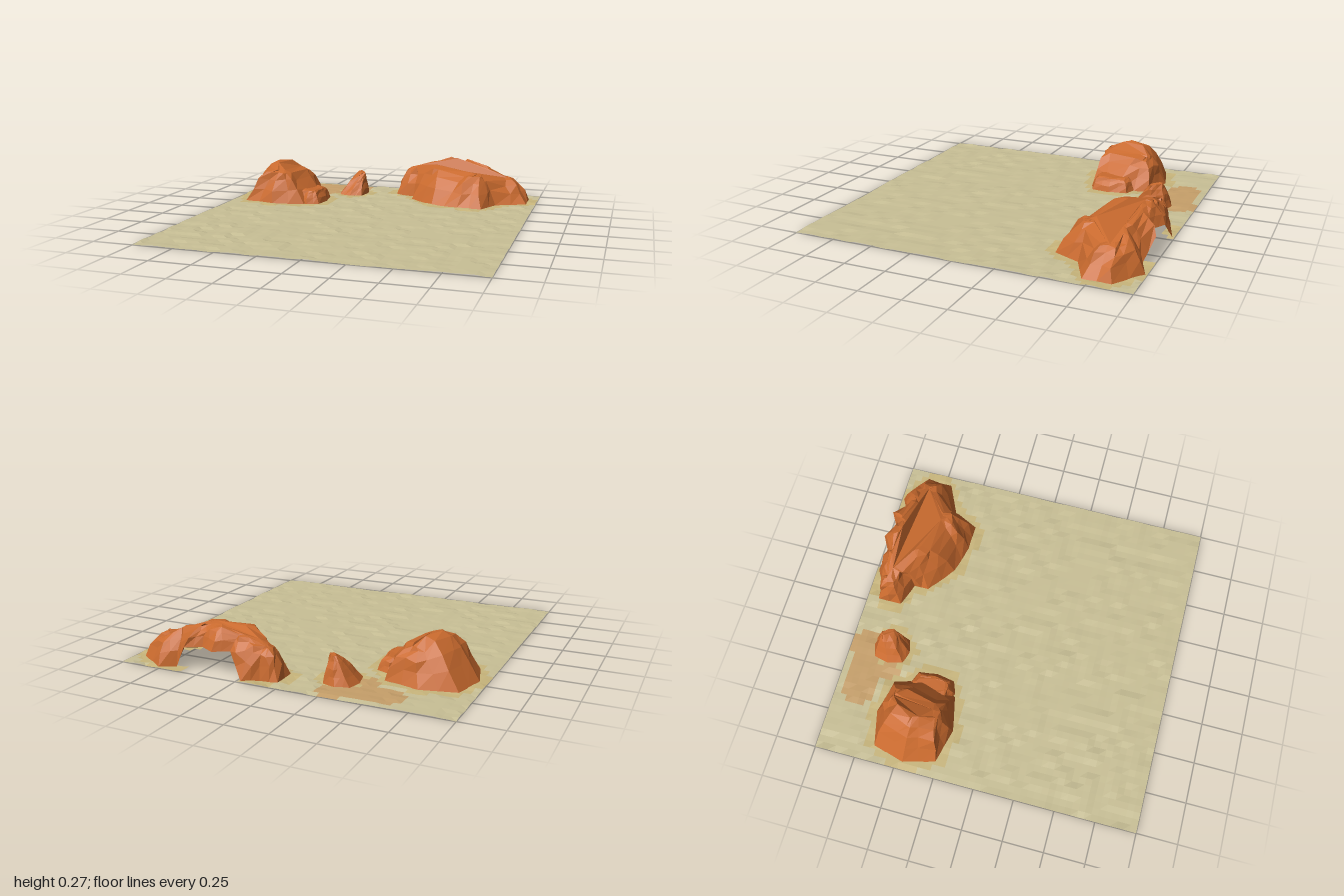
import * as THREE from 'three';

const GROUND = 0.008;

// repeatable noise in -1..1 from two coordinates
function noise(a, b) {
  const s = Math.sin(a * 127.1 + b * 311.7) * 43758.5453;
  return (s - Math.floor(s)) * 2 - 1;
}

function facetedMesh(name, positions, color) {
  const geometry = new THREE.BufferGeometry();
  geometry.setAttribute('position', new THREE.Float32BufferAttribute(positions, 3));
  geometry.computeVertexNormals();
  const mesh = new THREE.Mesh(geometry, new THREE.MeshStandardMaterial({
    color, flatShading: true, side: THREE.DoubleSide, roughness: 1,
  }));
  mesh.name = name;
  return mesh;
}

// squarish eight-sided foot outline of [x, z, height] points
function blob(cx, cz, rx, rz) {
  const soft = (v) => Math.sign(v) * Math.abs(v) ** 0.67;
  return Array.from({ length: 8 }, (_, i) => {
    const a = i * Math.PI / 4;
    return [cx + rx * soft(Math.cos(a)), cz - rz * soft(Math.sin(a)), GROUND];
  });
}

// closest point on a ridge line of [x, z, height] points
function nearestOnRidge(ridge, x, z) {
  let best = null;
  let bestD = Infinity;
  for (let i = 0; i < ridge.length - 1; i++) {
    const [ax, az, ah] = ridge[i];
    const [bx, bz, bh] = ridge[i + 1];
    const dx = bx - ax, dz = bz - az;
    const t = THREE.MathUtils.clamp(((x - ax) * dx + (z - az) * dz) / (dx * dx + dz * dz), 0, 1);
    const p = [ax + dx * t, az + dz * t, ah + (bh - ah) * t];
    const d = Math.hypot(p[0] - x, p[1] - z);
    if (d < bestD) { bestD = d; best = p; }
  }
  return best;
}

// rock: rings climb from the foot outline to the ridge, steepest at the foot
function rockMesh({ name, outline, ridge, steepness, reach, rough }) {
  const LEVELS = 4;
  const foot = outline.flatMap((p, i) => {
    const q = outline[(i + 1) % outline.length];
    return [p, p.map((v, k) => (v + q[k]) / 2)];
  });
  const rings = Array.from({ length: LEVELS + 1 }, (_, level) => {
    const s = level / LEVELS;
    const h = 1 - (1 - s) ** steepness;
    const r = level === 0 ? 0 : rough;
    return foot.map(([x, z, y], i) => {
      const [rx, rz, rh] = nearestOnRidge(ridge, x, z);
      return new THREE.Vector3(
        x + (rx - x) * s * reach + noise(i, level) * r,
        y + (rh - y) * h + noise(i + 40, level) * r * 0.6,
        z + (rz - z) * s * reach + noise(i + 90, level) * r);
    });
  });
  const out = [];
  const tri = (...v) => v.forEach((p) => out.push(p.x, p.y, p.z));
  for (let l = 0; l < LEVELS; l++) {
    for (let i = 0; i < foot.length; i++) {
      const j = (i + 1) % foot.length;
      const a = rings[l][i], b = rings[l][j], c = rings[l + 1][j], d = rings[l + 1][i];
      tri(a, b, c);
      tri(a, c, d);
    }
  }
  // close the crest
  const crest = rings[LEVELS];
  const flat = crest.map((p) => new THREE.Vector2(p.x, -p.z));
  THREE.ShapeUtils.triangulateShape(flat, []).forEach((f) => tri(...f.map((k) => crest[k])));
  return facetedMesh(name, out, 0xc96a2e);
}

function inside(outline, x, z) {
  let hit = false;
  outline.forEach(([ax, az], i) => {
    const [bx, bz] = outline[(i + 1) % outline.length];
    if ((az > z) !== (bz > z) && x < ax + (bx - ax) * (z - az) / (bz - az)) hit = !hit;
  });
  return hit;
}

const leftMountain = {
  name: 'leftMountain',
  outline: blob(-0.69, -0.46, 0.265, 0.245),
  ridge: [[-0.68, -0.34, 0.22], [-0.69, -0.42, 0.265], [-0.66, -0.47, 0.235],
    [-0.65, -0.52, 0.265], [-0.62, -0.58, 0.2]],
  steepness: 1.8, reach: 0.86, rough: 0.012,
};

const leftShoulder = {
  name: 'leftMountainShoulder',
  outline: blob(-0.46, -0.415, 0.095, 0.145),
  ridge: [[-0.47, -0.38, 0.095], [-0.47, -0.46, 0.09]],
  steepness: 2, reach: 0.5, rough: 0.005,
};

const smallRock = {
  name: 'smallRock',
  outline: blob(-0.275, -0.74, 0.1, 0.115),
  ridge: [[-0.235, -0.79, 0.16], [-0.2, -0.75, 0.155]],
  steepness: 1.2, reach: 0.85, rough: 0.005,
};

// front foot of the right mountain, then a zigzag rear edge that is
// raised in the middle, where the land ends and the back stays open
const frontFoot = [[0.025, -0.93], [0.025, -0.78], [0.17, -0.73], [0.17, -0.64], [0.34, -0.51],
  [0.52, -0.465], [0.68, -0.465], [0.75, -0.62], [0.94, -0.71], [0.94, -0.87]];
const rearFoot = Array.from({ length: 8 }, (_, i) => [0.76 - 0.09 * i, i % 2 ? -0.94 : -0.99,
  i > 1 && i < 6 ? 0.15 : GROUND]);

const rightMountain = {
  name: 'rightMountain',
  outline: [...frontFoot.map(([x, z]) => [x, z, GROUND]), ...rearFoot],
  ridge: [[0.13, -0.87, 0.19], [0.27, -0.86, 0.24], [0.36, -0.75, 0.24], [0.4, -0.86, 0.28],
    [0.5, -0.85, 0.26], [0.6, -0.68, 0.205], [0.66, -0.82, 0.225], [0.76, -0.82, 0.165]],
  steepness: 2.1, reach: 0.82, rough: 0.013,
};

const ROCKS = [leftMountain, leftShoulder, smallRock, rightMountain];

// orange dust stains on the sand: x, z, radius
const STAINS = [[-0.58, -0.86, 0.1], [-0.46, -0.85, 0.1], [-0.3, -0.9, 0.09], [-0.42, -0.72, 0.07]];

// sand sheet, open beneath the rocks and tinted around them
function addGround(group) {
  const N = 50;
  const tints = { sand: [], paleDust: [], orangeDust: [] };
  const corner = (i, k) => [-1 + 2 * i / N,
    GROUND + 0.004 * noise(Math.round(i / 2), Math.round(k / 2)), -1 + 2 * k / N];
  for (let i = 0; i < N; i++) {
    for (let k = 0; k < N; k++) {
      const a = corner(i, k), b = corner(i, k + 1), c = corner(i + 1, k + 1), d = corner(i + 1, k);
      const covered = ROCKS.some((r) => [a, b, c, d].every((p) => inside(r.outline, p[0], p[2])));
      // the sheet ends behind the raised rear of the right mountain
      const x = (a[0] + c[0]) / 2, z = (a[2] + c[2]) / 2;
      if (covered || (z < -0.9 && x > 0.25 && x < 0.62)) continue;
      const stained = STAINS.some((s) => Math.hypot(x - s[0], z - s[1]) < s[2]);
      const near = ROCKS.some((r) => [[0.05, 0], [-0.05, 0], [0, 0.05], [0, -0.05]].some(([u, v]) =>
        inside(r.outline, x + u, z + v)));
      const list = stained ? tints.orangeDust : near ? tints.paleDust : tints.sand;
      list.push(...a, ...b, ...c, ...a, ...c, ...d);
    }
  }
  group.add(facetedMesh('sandGround', tints.sand, 0xc9c096));
  group.add(facetedMesh('paleDust', tints.paleDust, 0xc9b67c));
  group.add(facetedMesh('orangeDust', tints.orangeDust, 0xc7a06a));
}

export function createModel() {
  const group = new THREE.Group();
  group.name = 'desertLandscape';
  addGround(group);
  ROCKS.forEach((r) => group.add(rockMesh(r)));
  return group;
}
